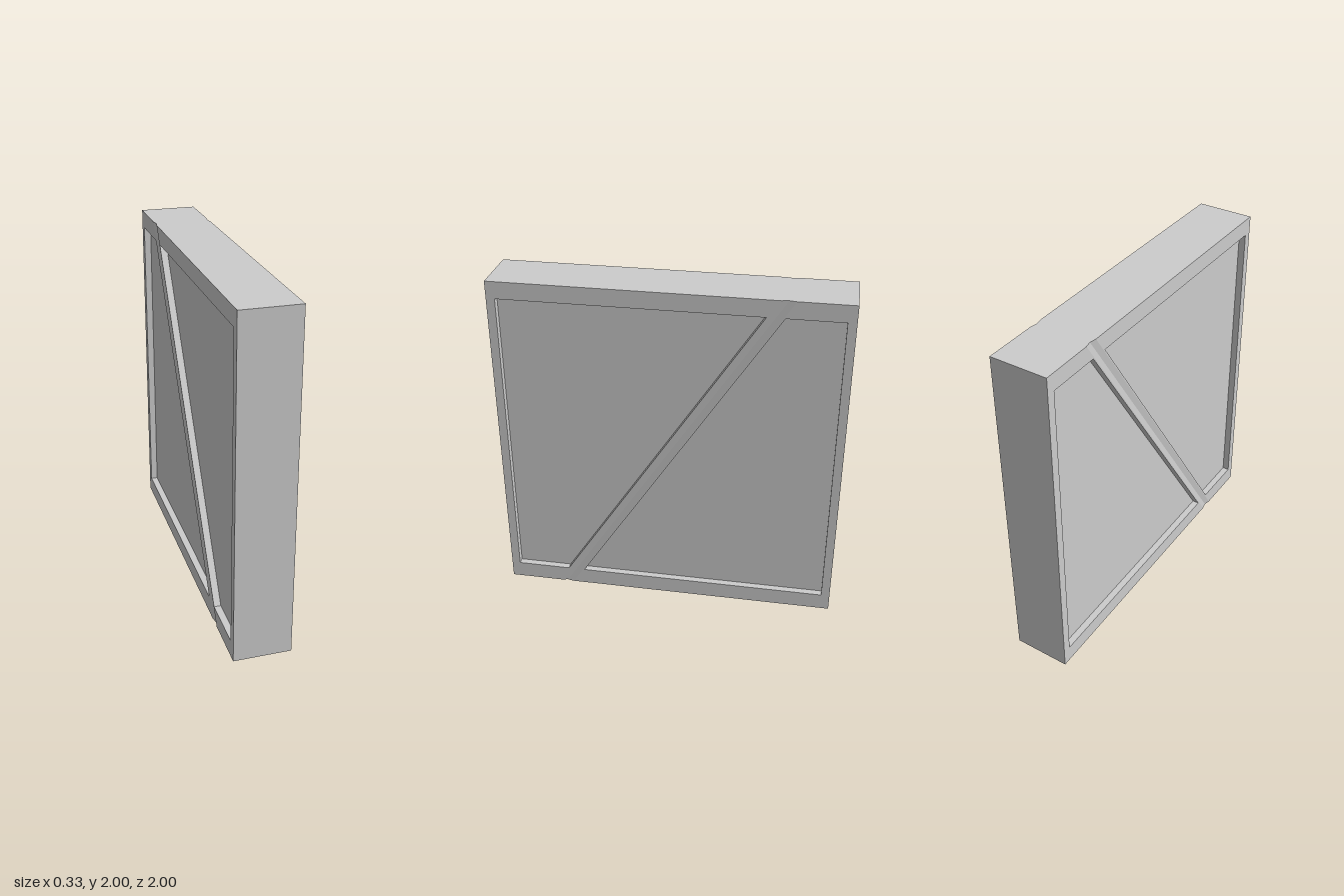
import * as THREE from 'three';

const HALF_X = 0.167;   // half the panel thickness
const DEPTH = 0.04;     // recess depth on each face
const GROOVE = 0.04;    // half width of the brace groove, along z
const GROOVE_DEPTH = 0.008;
const SLOPE = -0.644;   // change of z per unit of height along the brace

const braceZ = (y) => SLOPE * (y - 1);

export function createModel() {
  const group = new THREE.Group();
  const material = new THREE.MeshStandardMaterial({ color: 0xcccccc, flatShading: true });
  const add = (name, geometry) => {
    const mesh = new THREE.Mesh(geometry, material);
    mesh.name = name;
    group.add(mesh);
  };

  // Solid core whose sides are the recessed panels
  const core = new THREE.BoxGeometry(2 * (HALF_X - DEPTH), 2, 2);
  core.translate(0, 1, 0);
  add('core', core);

  // Half of the raised border plus one edge of the diagonal brace;
  // the other half is the same shape turned about the centre
  const halfFrame = (turn, x) => {
    const points = (list) => list.map(([z, y]) =>
      turn ? new THREE.Vector2(-z, 2 - y) : new THREE.Vector2(z, y));
    const shape = new THREE.Shape(points([
      [1, 0], [1, 2], [braceZ(2) + GROOVE, 2], [braceZ(0) + GROOVE, 0],
    ]));
    shape.holes.push(new THREE.Path(points([
      [0.95, 0.1], [0.95, 1.9], [braceZ(1.9) + 0.05, 1.9], [braceZ(0.1) + 0.05, 0.1],
    ])));
    const geometry = new THREE.ExtrudeGeometry(shape, { depth: DEPTH, bevelEnabled: false });
    geometry.rotateY(-Math.PI / 2);
    geometry.translate(x, 0, 0);
    return geometry;
  };

  // Middle of the brace: a shallow V section raised upright, then sheared
  const braceStrip = (side) => {
    const inner = side * (HALF_X - DEPTH);
    const outer = side * HALF_X;
    const shape = new THREE.Shape([
      new THREE.Vector2(inner, -GROOVE),
      new THREE.Vector2(outer, -GROOVE),
      new THREE.Vector2(outer - side * GROOVE_DEPTH, 0),
      new THREE.Vector2(outer, GROOVE),
      new THREE.Vector2(inner, GROOVE),
    ]);
    const geometry = new THREE.ExtrudeGeometry(shape, { depth: 2, bevelEnabled: false });
    geometry.rotateX(-Math.PI / 2);
    const position = geometry.attributes.position;
    for (let i = 0; i < position.count; i++) {
      position.setZ(i, position.getZ(i) + braceZ(position.getY(i)));
    }
    geometry.computeVertexNormals();
    return geometry;
  };

  for (const [label, side] of [['left', 1], ['right', -1]]) {
    const x = side > 0 ? HALF_X : DEPTH - HALF_X;
    add(label + 'FrameFront', halfFrame(false, x));
    add(label + 'FrameBack', halfFrame(true, x));
    add(label + 'BraceGroove', braceStrip(side));
  }
  return group;
}
